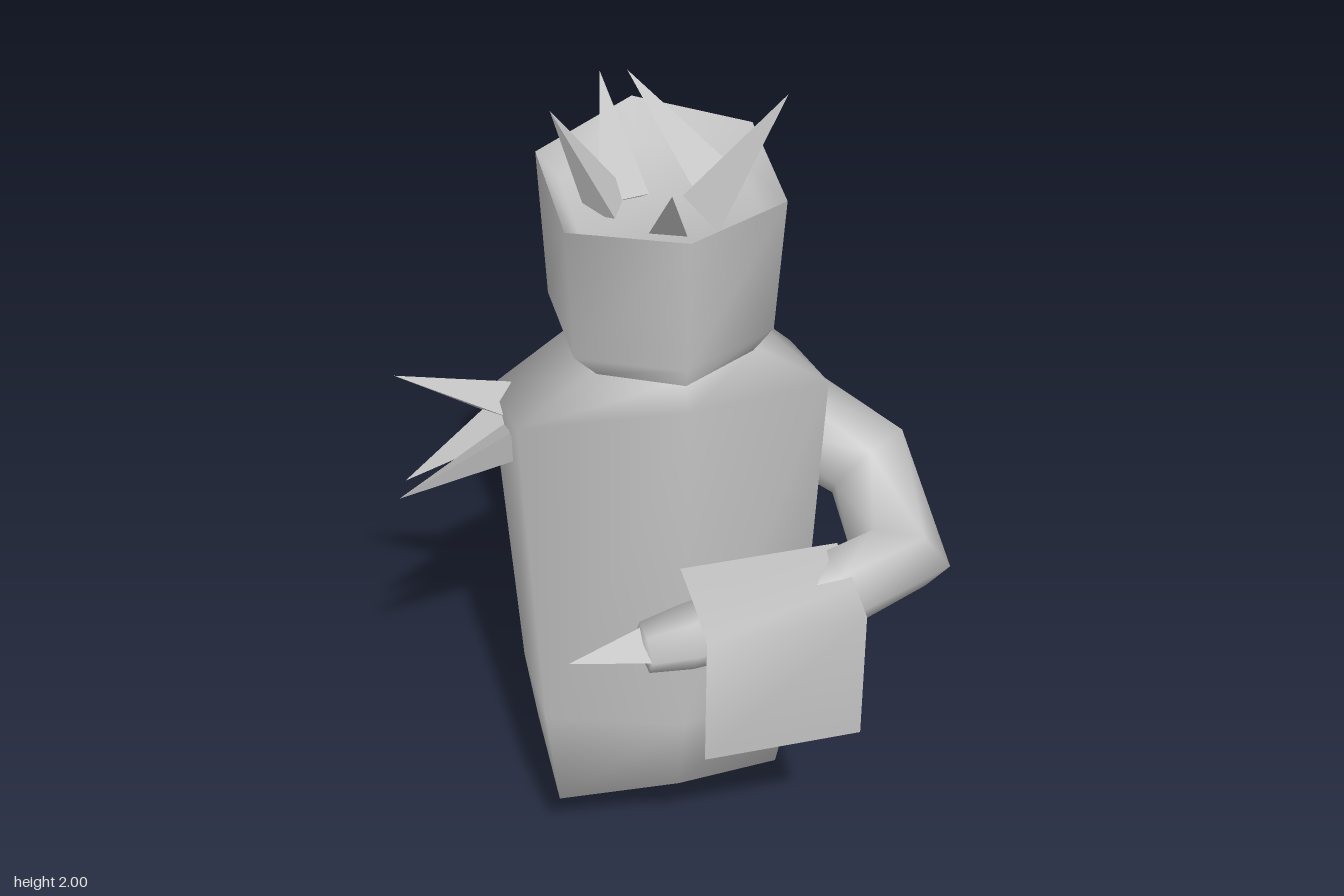
import * as THREE from 'three';

const CENTRE_X = 0.018;
const grey = new THREE.MeshStandardMaterial({ color: 0xc0c0c0, side: THREE.DoubleSide });
grey.name = 'plain grey';

// Smooth skin over rows of points, each row a closed loop
function skin(rows) {
  const n = rows[0].length, pos = [], index = [];
  rows.forEach((row) => row.forEach((p) => pos.push(p.x, p.y, p.z)));
  for (let i = 0; i < rows.length - 1; i++) {
    for (let j = 0; j < n; j++) {
      const k = (j + 1) % n, a = i * n + j, b = i * n + k;
      index.push(a, a + n, b, b, a + n, b + n);
    }
  }
  const g = new THREE.BufferGeometry();
  g.setAttribute('position', new THREE.Float32BufferAttribute(pos, 3));
  g.setIndex(index);
  g.computeVertexNormals();
  return g;
}

// Six-sided ring: [front y, front z, back y, back z, half width, half width behind, sag of the sides]
function hexRing([fy, fz, by, bz, w, backW = w, sag = 0]) {
  return [[0, 0], [w, 0.23], [backW, 0.77], [0, 1], [-backW, 0.77], [-w, 0.23]].map(([x, t]) =>
    new THREE.Vector3(CENTRE_X + x, fy + (by - fy) * t - (x ? sag : 0), fz + (bz - fz) * t));
}

// Six-sided limb through [x, y, z, radius]
function limb(points) {
  const c = points.map((p) => new THREE.Vector3(p[0], p[1], p[2]));
  return skin(points.map((p, i) => {
    const t = c[Math.min(i + 1, c.length - 1)].clone().sub(c[Math.max(i - 1, 0)]).normalize();
    const v = t.clone().cross(new THREE.Vector3(0, 1, 0)).normalize();
    const u = v.clone().cross(t);
    return Array.from({ length: 6 }, (_, j) => {
      const a = (j + 0.5) * Math.PI / 3;
      return c[i].clone().addScaledVector(u, p[3] * Math.cos(a)).addScaledVector(v, p[3] * Math.sin(a));
    });
  }));
}

// Flat-sided three-cornered thorn from base centre to tip
function spike(base, tip, radius, turn = 0) {
  const b = new THREE.Vector3(...base), d = new THREE.Vector3(...tip).sub(b), h = d.length();
  const g = new THREE.ConeGeometry(radius, h, 3).rotateY(turn).translate(0, h / 2, 0).toNonIndexed();
  g.applyQuaternion(new THREE.Quaternion().setFromUnitVectors(new THREE.Vector3(0, 1, 0), d.normalize()));
  g.translate(b.x, b.y, b.z);
  g.computeVertexNormals();
  return g;
}

export function createModel() {
  const model = new THREE.Group();
  model.name = 'figure';
  const add = (name, geometry, parent = model) => {
    const m = new THREE.Mesh(geometry, grey);
    m.name = name;
    parent.add(m);
  };

  // Body running down into a narrower, curled-back tail
  const neck = [1.41, 0.29, 1.41, -0.03, 0.175];
  add('bodyAndTail', skin([
    neck,
    [1.36, 0.335, 1.21, -0.165, 0.333, 0.333, 0.03],
    [0.5, 0.33, 0.5, -0.08, 0.29],
    [0.28, 0.285, 0.4, -0.11, 0.255, 0.255, 0.1],
    [0.04, 0.02, 0.28, -0.15, 0.19, 0.11],
    [0.005, -0.32, 0.12, -0.37, 0.125, 0.085],
    [0.06, -0.61, 0.06, -0.61, 0],
  ].map(hexRing)));
  add('neckCap', skin([[1.41, 0.13, 1.41, 0.13, 0], neck].map(hexRing)));

  // Hollow head
  const rim = [1.77, 0.335, 1.83, -0.135, 0.227, 0.227, 0.02];
  const jaw = [1.41, 0.31, 1.41, -0.06, 0.165];
  add('head', skin([rim, [1.45, 0.317, 1.46, -0.115, 0.21], jaw].map(hexRing)));
  add('headUnderside', skin([jaw, [1.41, 0.12, 1.41, 0.12, 0]].map(hexRing)));
  add('headHollow', skin([
    [1.73, 0.1, 1.73, 0.1, 0], [1.71, 0.285, 1.75, -0.085, 0.185], rim,
  ].map(hexRing)));

  // Spikes rising from the head
  const crown = new THREE.Group();
  crown.name = 'crownSpikes';
  model.add(crown);
  [
    [[-0.09, 1.73, 0.11], [-0.2, 1.95, 0.075], 0.055],
    [[-0.05, 1.73, 0.09], [-0.065, 1.94, -0.065], 0.06],
    [[0.13, 1.73, 0.09], [-0.015, 1.95, -0.04], 0.06],
    [[0.1, 1.73, 0.18], [0.245, 2.0, 0.21], 0.065],
    [[0.01, 1.73, 0.2], [-0.025, 1.895, 0.35], 0.045],
  ].forEach(([b, t, r], i) => add('crownSpike', spike(b, t, r, i * 0.7), crown));

  // Spikes in place of the right arm
  const stump = new THREE.Group();
  stump.name = 'rightSideSpikes';
  model.add(stump);
  [
    [[-0.3, 1.22, 0.03], [-0.53, 1.33, 0.02]],
    [[-0.3, 1.2, 0.12], [-0.55, 1.085, 0.12]],
    [[-0.3, 1.2, 0.05], [-0.52, 1.055, 0.025]],
  ].forEach(([b, t], i) => add('sideSpike', spike(b, t, 0.05, i * 0.9), stump));

  // Left arm bent across the front, ending in a pointed hand
  add('leftArm', limb([
    [0.25, 1.18, 0.08, 0.105],
    [0.46, 1.035, 0.18, 0.108],
    [0.465, 0.945, 0.405, 0.108],
    [0.3, 0.93, 0.46, 0.088],
    [-0.03, 0.915, 0.505, 0.07],
    [-0.12, 0.91, 0.51, 0.055],
    [-0.13, 0.91, 0.51, 0],
  ]));
  add('handSpike', spike([-0.11, 0.91, 0.515], [-0.28, 0.9, 0.51], 0.05));

  // Cloth draped over the forearm
  const cloth = new THREE.PlaneGeometry(0.34, 1, 1, 3);
  const fold = [[1.01, 0.4], [1.0, 0.52], [0.98, 0.61], [0.66, 0.61]];
  const p = cloth.attributes.position;
  for (let i = 0; i < p.count; i++) {
    const [y, z] = fold[Math.floor(i / 2)];
    p.setXYZ(i, p.getX(i) + 0.155, y, z);
  }
  cloth.computeVertexNormals();
  add('cloth', cloth);

  return model;
}
